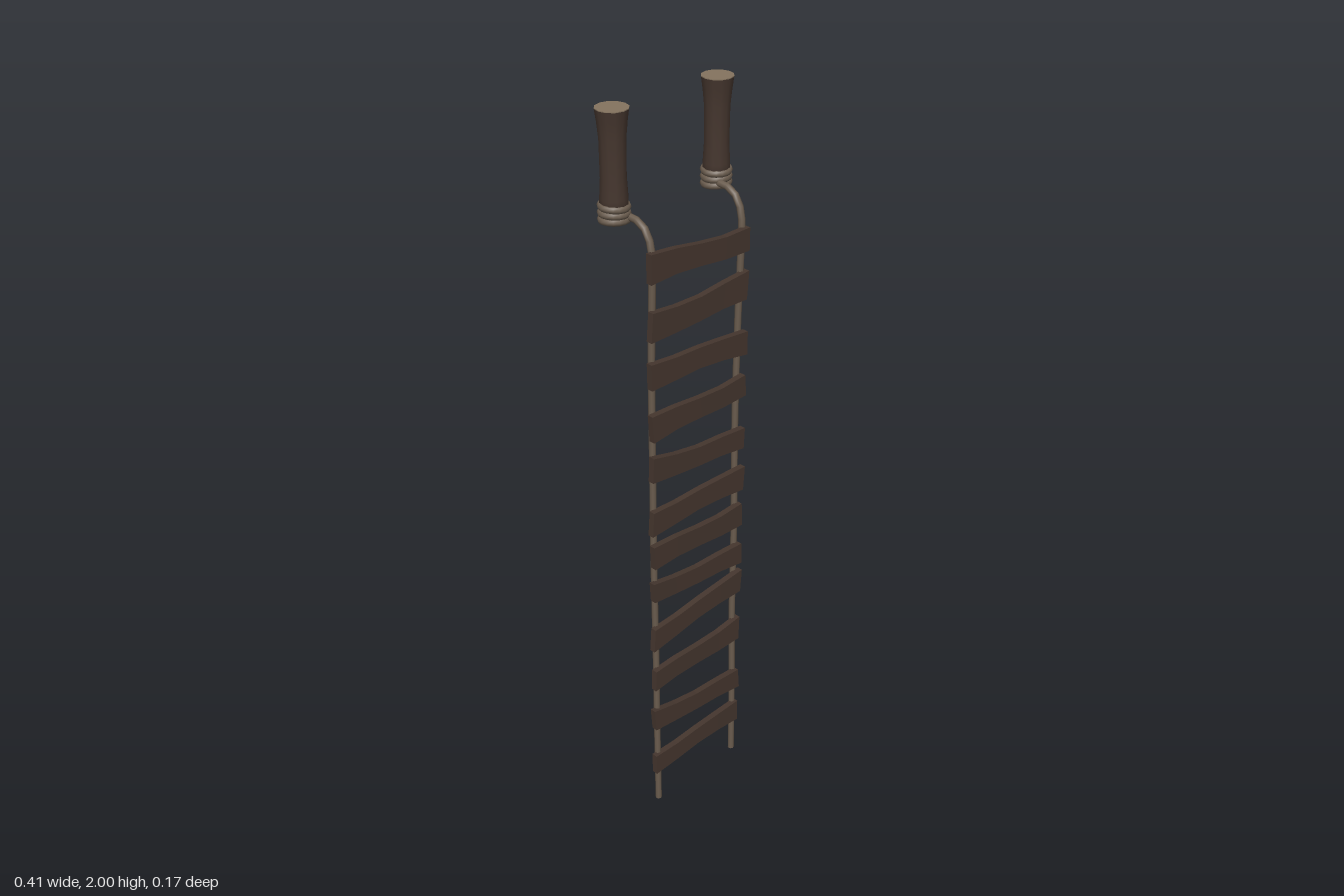
import * as THREE from 'three';

const wood = new THREE.MeshStandardMaterial({ color: 0x45362e });
wood.name = 'dark wood';
const cutWood = new THREE.MeshStandardMaterial({ color: 0x85745f });
cutWood.name = 'cut wood';
const rope = new THREE.MeshStandardMaterial({ color: 0x6a5c4e });
rope.name = 'rope';

// Left centre y, left height, right centre y, right height of every rung, as seen from the front
const RUNGS = [
  [1.65, 0.075, 1.63, 0.06], [1.5, 0.075, 1.505, 0.075], [1.375, 0.07, 1.355, 0.065],
  [1.23, 0.075, 1.23, 0.06], [1.11, 0.07, 1.07, 0.06], [0.955, 0.07, 0.955, 0.07],
  [0.85, 0.07, 0.835, 0.07], [0.735, 0.06, 0.705, 0.065], [0.585, 0.07, 0.62, 0.07],
  [0.445, 0.065, 0.45, 0.075], [0.3, 0.07, 0.265, 0.065], [0.145, 0.065, 0.15, 0.07],
];

function add(parent, name, geometry, material) {
  const mesh = new THREE.Mesh(geometry, material);
  mesh.name = name;
  parent.add(mesh);
  return mesh;
}

// A rough plank: a box tapered towards the middle and tilted between its two ends
function plankGeometry([yL, hL, yR, hR], i) {
  const geo = new THREE.BoxGeometry(1, 1, 0.017, 4, 1, 1);
  const p = geo.attributes.position;
  for (let v = 0; v < p.count; v++) {
    const t = p.getX(v) + 0.5, side = p.getY(v);
    const waist = 1 - 0.16 * Math.sin(Math.PI * t);
    const height = THREE.MathUtils.lerp(hL, hR, t) * waist;
    const wave = 0.004 * Math.sin(2 * Math.PI * t + i * 2.1);
    const skew = 0.006 * side * Math.sin(i * 1.7);
    p.setXYZ(v,
      THREE.MathUtils.lerp(-0.168, 0.158, t) + skew,
      THREE.MathUtils.lerp(yL, yR, t) + side * height + wave,
      p.getZ(v) + 0.07 + 0.002 * Math.sin(i * 2.3 + t * 3));
  }
  const flat = geo.toNonIndexed();
  flat.computeVertexNormals();
  return flat;
}

function createPost(side) {
  const post = new THREE.Group();
  post.name = side > 0 ? 'leftPost' : 'rightPost';
  post.position.set(side * 0.166, 0, -0.045);

  // Log with a flared top and foot
  const profile = [[0, 1.735], [0.034, 1.735], [0.034, 1.79], [0.031, 1.84], [0.032, 1.93], [0.036, 1.97], [0.04, 1.998]]
    .map(([r, y]) => new THREE.Vector2(r, y));
  add(post, 'log', new THREE.LatheGeometry(profile, 12), wood);
  const cap = add(post, 'cutEnd', new THREE.CylinderGeometry(0.04, 0.04, 0.002, 12), cutWood);
  cap.position.y = 1.999;

  // Rope wound round the foot
  for (let i = 0; i < 3; i++) {
    const coil = add(post, 'ropeCoil', new THREE.TorusGeometry(0.031, 0.009, 8, 16), rope);
    coil.position.y = 1.739 + i * 0.016;
    coil.rotation.set(Math.PI / 2 + (i - 1) * 0.05, side * 0.04, 0);
  }
  return post;
}

// Side rope hanging from the post and down behind the rungs
function ropeGeometry(side) {
  const points = [
    [0.149, 0, 0.065], [0.149, 0.25, 0.062], [0.147, 0.5, 0.058], [0.149, 0.8, 0.056],
    [0.147, 1.1, 0.053], [0.148, 1.4, 0.054], [0.148, 1.6, 0.059], [0.148, 1.68, 0.059],
    [0.148, 1.725, 0.044], [0.148, 1.745, 0.015], [0.148, 1.748, -0.02],
  ].map(([x, y, z]) => new THREE.Vector3(side * x, y, z));
  return new THREE.TubeGeometry(new THREE.CatmullRomCurve3(points), 60, 0.009, 8);
}

export function createModel() {
  const model = new THREE.Group();
  model.name = 'ropeLadder';

  for (const side of [-1, 1]) {
    model.add(createPost(side));
    const sideRope = add(model, side > 0 ? 'leftRope' : 'rightRope', ropeGeometry(side), rope);
    // Closed lower end
    const end = add(sideRope, 'ropeEnd', new THREE.CylinderGeometry(0.009, 0.009, 0.004, 8), rope);
    end.position.set(side * 0.149, 0.002, 0.065);
  }

  RUNGS.forEach((rung, i) => add(model, 'rung', plankGeometry(rung, i), wood));
  return model;
}
